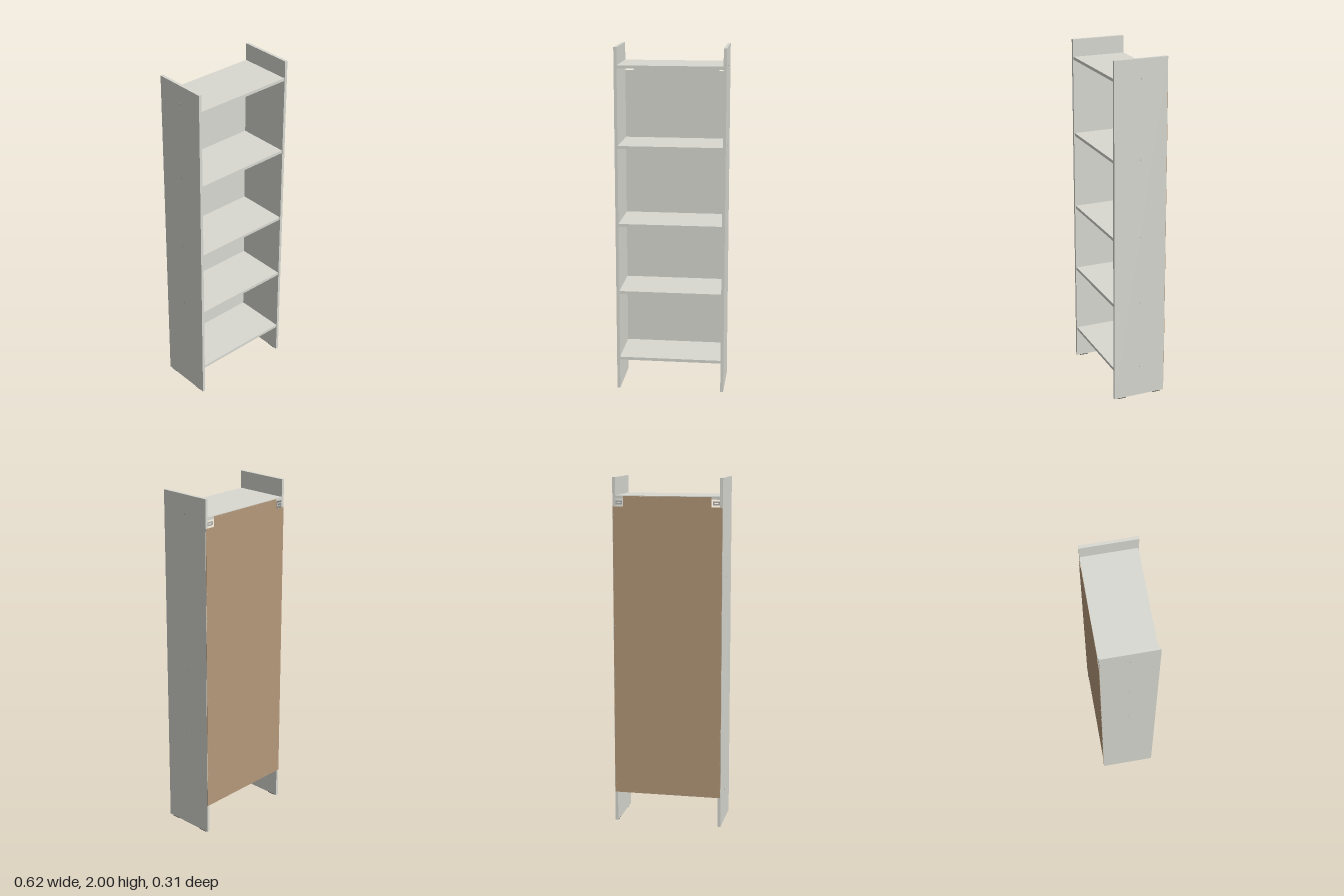
import * as THREE from 'three';

const mat = (name, color) => {
  const m = new THREE.MeshStandardMaterial({ color });
  m.name = name;
  return m;
};

export function createModel() {
  const white = mat('white board', 0xd9d9d2);
  const brown = mat('brown fibreboard', 0xb5987a);
  const steel = mat('steel', 0xb4b4b0);
  const dark = mat('dark plastic', 0x4a4a48);
  const model = new THREE.Group();
  model.name = 'bookcase';

  const add = (name, geometry, material, x, y, z) => {
    const mesh = new THREE.Mesh(geometry, material);
    mesh.name = name;
    mesh.position.set(x, y, z);
    model.add(mesh);
    return mesh;
  };
  const box = (name, w, h, d, material, x, y, z) =>
    add(name, new THREE.BoxGeometry(w, h, d), material, x, y, z);

  const T = 0.017, inner = 0.295, outer = 0.312, back = -0.154;
  const shelfTops = [0.197, 0.6, 1.0, 1.45, 1.9];

  // Shelves, set back slightly from the front of the sides
  for (const top of shelfTops) box('shelf', inner * 2, T, 0.307, white, 0, top - T / 2, -0.0005);

  // Back panel: white inside, brown outside, with notched upper corners
  const panel = new THREE.Shape();
  const w = 0.31, low = 0.18, high = 1.897, nx = 0.249, ny = 1.84;
  [[-w, low], [w, low], [w, ny], [nx, ny], [nx, high], [-nx, high], [-nx, ny], [-w, ny]]
    .forEach(([x, y], i) => (i ? panel.lineTo(x, y) : panel.moveTo(x, y)));
  panel.closePath();
  const layer = (depth) => new THREE.ExtrudeGeometry(panel, { depth, bevelEnabled: false });
  add('backPanelFace', layer(0.001), white, 0, 0, back - 0.001);
  add('backPanel', layer(0.0015), brown, 0, 0, back - 0.0025);

  // Wall bracket plate with a slot
  const plate = new THREE.Shape();
  plate.moveTo(-0.019, -0.011);
  plate.lineTo(0.019, -0.011);
  plate.lineTo(0.019, 0.011);
  plate.lineTo(-0.019, 0.011);
  plate.closePath();
  const slot = new THREE.Path();
  slot.moveTo(-0.012, -0.003);
  slot.lineTo(-0.012, 0.003);
  slot.lineTo(0.012, 0.003);
  slot.lineTo(0.012, -0.003);
  slot.closePath();
  plate.holes.push(slot);
  const plateGeo = new THREE.ExtrudeGeometry(plate, { depth: 0.002, bevelEnabled: false });

  const screwGeo = new THREE.CylinderGeometry(0.004, 0.004, 0.001, 12).rotateZ(Math.PI / 2);
  const nailGeo = new THREE.CylinderGeometry(0.003, 0.003, 0.001, 10).rotateX(Math.PI / 2);
  const nail = (x, y) => add('nail', nailGeo, steel, x, y, back - 0.0027);

  for (const s of [-1, 1]) {
    box('sidePanel', T, 1.994, 0.311, white, s * (inner + outer) / 2, 1.003, 0.0015);

    // Feet under each side
    for (const z of [-0.11, 0.11]) box('foot', 0.011, 0.006, 0.05, dark, s * 0.3035, 0.003, z);

    // Bracket: slotted plate and a tab against the side
    add('bracketPlate', plateGeo, steel, s * 0.276, 1.862, back);
    box('bracketTab', 0.002, 0.022, 0.03, steel, s * 0.294, 1.862, back + 0.015);

    // Screw heads at each shelf, nails along the back edges
    for (const top of shelfTops) add('screw', screwGeo, steel, s * 0.312, top - T / 2, 0);
    for (let i = 0; i < 11; i++) nail(s * 0.304, 0.23 + i * 0.156);
    for (const y of [0.188, 1.89]) for (const x of [0.06, 0.19]) nail(s * x, y);
  }
  return model;
}
